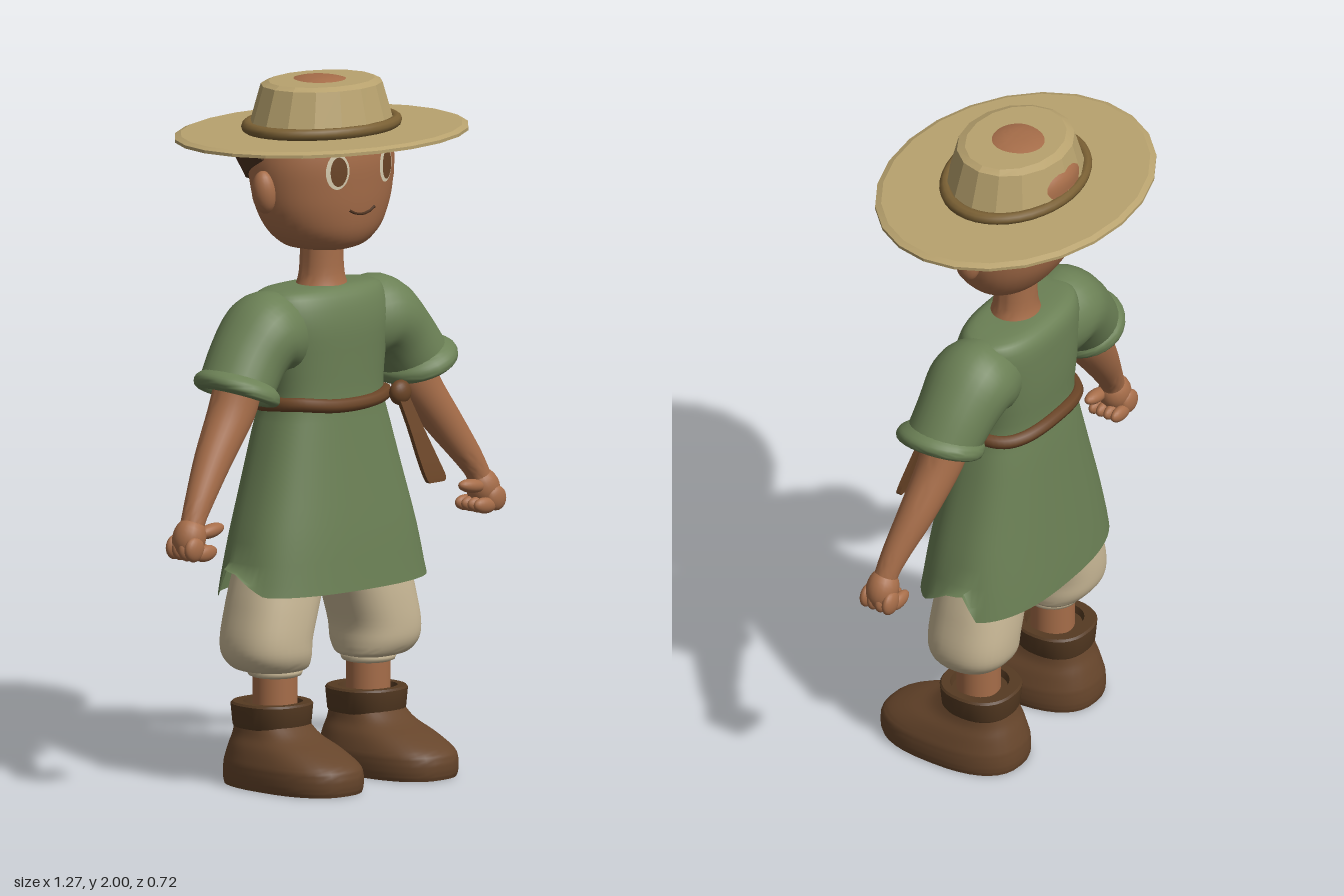
import * as THREE from 'three';
import { toCreasedNormals } from 'three/addons/utils/BufferGeometryUtils.js';

const mat = (name, color, side = THREE.FrontSide) => {
  const m = new THREE.MeshStandardMaterial({ color, side });
  m.name = name;
  return m;
};
const V = (x, y, z) => new THREE.Vector3(x, y, z);
const spow = (t, p) => Math.sign(t) * Math.pow(Math.abs(t), p);

// Skin a list of point rings; ends are capped, winding is made to face outward
function loft(rings, { crease = 0.9, capStart = true, capEnd = true } = {}) {
  const n = rings[0].length, pts = rings.flat(), idx = [];
  const mid = r => r.reduce((s, p) => s.add(p), V(0, 0, 0)).divideScalar(n);
  for (let i = 0; i < rings.length - 1; i++)
    for (let j = 0; j < n; j++) {
      const a = i * n + j, b = i * n + (j + 1) % n;
      idx.push(a, a + n, b, b, a + n, b + n);
    }
  const cap = (start, ring, flip) => {
    const c = pts.push(mid(ring)) - 1;
    for (let j = 0; j < n; j++) {
      const a = start + j, b = start + (j + 1) % n;
      flip ? idx.push(c, b, a) : idx.push(c, a, b);
    }
  };
  if (capStart) cap(0, rings[0], false);
  if (capEnd) cap((rings.length - 1) * n, rings[rings.length - 1], true);
  const o = mid(rings[0]);
  let vol = 0;
  for (let k = 0; k < idx.length; k += 3) {
    const [a, b, c] = [0, 1, 2].map(q => pts[idx[k + q]].clone().sub(o));
    vol += a.dot(b.cross(c));
  }
  if (vol < 0) idx.reverse();
  const g = new THREE.BufferGeometry().setFromPoints(pts);
  g.setIndex(idx);
  g.computeVertexNormals();
  return toCreasedNormals(g, crease);
}

// Catmull-Rom subdivision of number rows
function smooth(rows, k = 4) {
  const out = [], at = i => rows[Math.min(Math.max(i, 0), rows.length - 1)];
  for (let i = 0; i < rows.length - 1; i++)
    for (let s = 0; s < k; s++) {
      const t = s / k;
      out.push(rows[i].map((b, q) => {
        const a = at(i - 1)[q], c = at(i + 1)[q], d = at(i + 2)[q];
        return b + 0.5 * t * (c - a + t * (2 * a - 5 * b + 4 * c - d + t * (3 * (b - c) + d - a)));
      }));
    }
  out.push(rows[rows.length - 1]);
  return out;
}

// Horizontal ring from row [y, halfWidth, zFront, zBack, centreX]
const level = ([y, hx, zf, zb, cx = 0], n = 40, p = 1) => Array.from({ length: n }, (_, j) => {
  const a = j / n * Math.PI * 2, s = spow(Math.sin(a), p), zc = (zf + zb) / 2;
  const z = p === 1 ? (s > 0 ? s * zf : -s * zb) : zc + s * (zf - zb) / 2;
  return V(cx + hx * spow(Math.cos(a), p), y, z);
});
// Limb ring from row [outerX, outerY, innerX, innerY, zCentre, halfDepth]
const section = ([ax, ay, bx, by, zc, hz], s, n = 28) => Array.from({ length: n }, (_, j) => {
  const a = j / n * Math.PI * 2, c = Math.cos(a) / 2;
  return V(s * ((ax + bx) / 2 + c * (ax - bx)), (ay + by) / 2 + c * (ay - by), zc + hz * Math.sin(a));
});

export function createModel() {
  const skin = mat('skin', 0xa66d49), green = mat('tunic green', 0x6b8055, THREE.DoubleSide);
  const straw = mat('straw', 0xb8a26e), bandM = mat('hat band', 0x7a6034);
  const linen = mat('linen', 0xc9b896), boot = mat('boot leather', 0x66452b);
  const cuffM = mat('boot cuff leather', 0x553a22), beltM = mat('belt leather', 0x6b4527);
  const hairM = mat('dark hair', 0x4f3421), white = mat('eye cream', 0xd8cdb0);
  const model = new THREE.Group();
  model.name = 'strawHatVillager';
  const add = (name, g, m) => {
    const o = new THREE.Mesh(g, m);
    o.name = name;
    model.add(o);
    return o;
  };
  const blob = (name, m, pos, size, rot = 0) => {
    const o = add(name, new THREE.SphereGeometry(1, 20, 14), m);
    o.position.set(...pos);
    o.scale.set(...size);
    o.rotation.z = rot;
  };

  // Head and neck
  const headRows = smooth([[1.515, .08, .09, -.05], [1.53, .13, .125, -.08], [1.57, .18, .15, -.115],
    [1.63, .213, .163, -.15], [1.70, .228, .17, -.17], [1.78, .23, .173, -.185], [1.86, .205, .16, -.18],
    [1.92, .17, .13, -.177], [1.96, .125, .095, -.145], [1.985, .085, .075, -.1], [1.997, .045, .04, -.055], [2, .01, .01, -.01]]);
  add('head', loft(headRows.map(r => level(r)), { crease: 1.2 }), skin);
  add('neck', loft(smooth([[1.39, .085, .075, -.075], [1.44, .067, .062, -.062], [1.54, .06, .06, -.06]]).map(r => level(r))), skin);

  // Face details follow the front of the head
  const faceZ = (x, y) => {
    const i = headRows.findIndex(r => r[0] > y), a = headRows[i - 1], b = headRows[i];
    const t = (y - a[0]) / (b[0] - a[0]), L = q => a[q] + (b[q] - a[q]) * t;
    return L(2) * Math.sqrt(1 - (x / L(1)) ** 2);
  };
  const facePatch = (name, m, cx, cy, rx, ry, lift) => {
    const g = new THREE.CircleGeometry(1, 28), p = g.attributes.position;
    for (let i = 0; i < p.count; i++) {
      const x = cx + p.getX(i) * rx, y = cy + p.getY(i) * ry;
      p.setXYZ(i, x, y, faceZ(x, y) + lift);
    }
    g.computeVertexNormals();
    add(name, g, m);
  };
  for (const s of [1, -1]) {
    facePatch('eyeWhite', white, s * .095, 1.755, .035, .051, .005);
    facePatch('iris', beltM, s * .095, 1.755, .025, .042, .009);
    blob('ear', skin, [s * .232, 1.695, .005], [.036, .062, .035], s * -.12);
  }
  const smile = [-.05, -.027, 0, .027, .05].map(x => {
    const y = 1.625 + 6 * x * x;
    return V(x, y, faceZ(x, y) + .001);
  });
  add('mouth', new THREE.TubeGeometry(new THREE.CatmullRomCurve3(smile), 20, .004, 6), hairM);

  // Hair band round the back of the head, with a ragged top edge
  const hair = Array.from({ length: 33 }, (_, i) => {
    const a = i / 32 * Math.PI, c = Math.cos(a), s = Math.sin(a);
    const yb = 1.785 - .1 * s, yt = 1.815 + (i % 3 === 0 ? .02 : i % 3 === 1 ? -.008 : .006);
    const at = (rx, rz, y) => V(c * rx, y, -s * rz);
    return [at(.215, .165, yb), at(.235, .195, yb), at(.27, .25, yt), at(.24, .22, yt)];
  });
  add('hair', loft(hair, { crease: .5 }), hairM);

  // Straw hat: brim, faceted crown, band
  const oval = (rows, n) => loft(rows.map(([y, x, z]) => level([y, x, z, -z], n)), { crease: .2 });
  add('hatBrim', oval([[1.832, .45, .35], [1.834, .463, .362], [1.843, .463, .362], [1.85, .444, .346]], 24), straw);
  add('hatCrown', oval([[1.84, .232, .19], [1.98, .186, .157], [1.99, .167, .132]], 16), straw);
  const hatBand = add('hatBand', new THREE.TorusGeometry(.235, .019, 10, 40), bandM);
  hatBand.rotation.x = Math.PI / 2;
  hatBand.scale.set(1, .77, .9);
  hatBand.position.y = 1.865;

  // Tunic with a pointed slit at each side of the hem
  const tunic = smooth([[.55, .345, .19, -.185], [.70, .31, .175, -.17], [.85, .265, .155, -.155], [1, .22, .135, -.14],
    [1.09, .195, .125, -.13], [1.2, .205, .125, -.135], [1.3, .222, .125, -.135], [1.37, .215, .11, -.13],
    [1.402, .19, .085, -.105], [1.41, .08, .06, -.06]], 3).map(r => level(r, 64, .8));
  for (const p of tunic[0]) {
    const d = p.z + .045;
    p.y += p.z < 0 ? -.008 : .006;
    if (Math.abs(p.x) > .2) p.y += .09 * Math.max(0, 1 - (d > 0 ? d / .14 : -d / .04));
  }
  tunic[1].forEach((p, j) => { p.y = Math.max(p.y, tunic[0][j].y + .005); });
  tunic[2].forEach((p, j) => { p.y = Math.max(p.y, tunic[1][j].y + .005); });
  add('tunic', loft(tunic, { capStart: false }), green);

  // Belt, knot and hanging end
  const loop = Array.from({ length: 20 }, (_, i) => {
    const a = i / 20 * Math.PI * 2;
    return V(.198 * spow(Math.cos(a), .8), 1.083 + .006 * Math.sin(3 * a), -.003 + .134 * spow(Math.sin(a), .8));
  });
  const beltG = new THREE.TubeGeometry(new THREE.CatmullRomCurve3(loop, true), 80, .02, 8, true);
  add('belt', beltG, beltM);
  blob('beltKnot', beltM, [.165, 1.092, .148], [.036, .036, .026], .4);
  const strap = smooth([[.145, .185, 1.085, .155], [.165, .215, 1.0, .178], [.185, .255, .9, .202], [.2, .275, .85, .212], [.21, .268, .835, .214]]);
  add('beltEnd', loft(strap.map(([a, b, y, z]) => [V(a, y, z - .007), V(b, y, z - .007), V(b, y, z + .007), V(a, y, z + .007)]), { crease: .5 }), beltM);

  for (const s of [1, -1]) {
    // Sleeve and rolled cuff
    const limb = (name, rows, m) => add(name, loft(smooth(rows).map(r => section(r, s))), m);
    limb('sleeve', [[.12, 1.39, .12, 1.16, -.01, .1], [.22, 1.408, .16, 1.165, -.008, .122], [.30, 1.375, .19, 1.175, -.005, .125],
      [.38, 1.29, .215, 1.15, 0, .115], [.445, 1.195, .245, 1.115, .01, .11]], green);
    limb('sleeveCuff', [[.425, 1.215, .245, 1.135, .012, .105], [.46, 1.2, .236, 1.115, .015, .126],
      [.464, 1.175, .246, 1.092, .018, .128], [.44, 1.158, .275, 1.092, .018, .11], [.425, 1.175, .28, 1.115, .018, .095]], green);

    // Arm and hand
    limb('arm', [[.40, 1.19, .27, 1.13, .005, .065], [.435, 1.1, .298, 1.06, .008, .063], [.505, .985, .41, .93, .025, .052],
      [.565, .88, .49, .84, .045, .04], [.598, .81, .53, .79, .055, .034], [.615, .77, .54, .75, .06, .034]], skin);
    blob('palm', skin, [s * .582, .757, .058], [.05, .06, .046], s * .4);
    blob('thumb', skin, [s * .517, .772, .078], [.05, .02, .021], s * -.15);
    for (let i = 0; i < 4; i++) {
      const z = .02 + i * .025;
      blob('knuckle', skin, [s * .598, .73, z], [.035, .036, .018], s * .5);
      blob('finger', skin, [s * .553, .714, z], [.042, .023, .017], s * -.1);
    }

    // Trousers, shin, boot
    const stack = (name, rows, m, p = 1, crease = .9) =>
      add(name, loft(smooth(rows).map(([y, hx, zf, zb, cx]) => level([y, hx, zf, zb, s * cx], 36, p)), { crease }), m);
    stack('trouserLeg', [[.325, .07, .07, -.07, .185], [.335, .105, .095, -.095, .2], [.37, .122, .115, -.122, .213], [.42, .125, .12, -.13, .214],
      [.5, .13, .118, -.13, .193], [.58, .133, .112, -.125, .17], [.75, .12, .1, -.11, .13]], linen, .85);
    const hem = add('trouserHem', new THREE.TorusGeometry(.065, .014, 8, 28), linen);
    hem.rotation.x = Math.PI / 2;
    hem.position.set(s * .185, .322, 0);
    stack('shin', [[.18, .064, .062, -.062, .185], [.34, .064, .062, -.062, .185]], skin);
    stack('boot', [[0, .134, .296, -.146, .1875], [.02, .138, .302, -.15, .1875], [.06, .137, .3, -.148, .1875], [.085, .13, .275, -.142, .1875],
      [.115, .118, .215, -.132, .1875], [.145, .102, .14, -.12, .1875], [.18, .094, .09, -.11, .1875]], boot, .8, .8);
    add('bootCuff', loft([[.165, .1, .095, -.115], [.17, .103, .098, -.117], [.23, .109, .103, -.122], [.236, .104, .099, -.117],
      [.236, .08, .075, -.085], [.215, .075, .07, -.08]].map(r => level([...r, s * .1875], 32, .85)), { crease: .6 }), cuffM);
  }
  return model;
}
